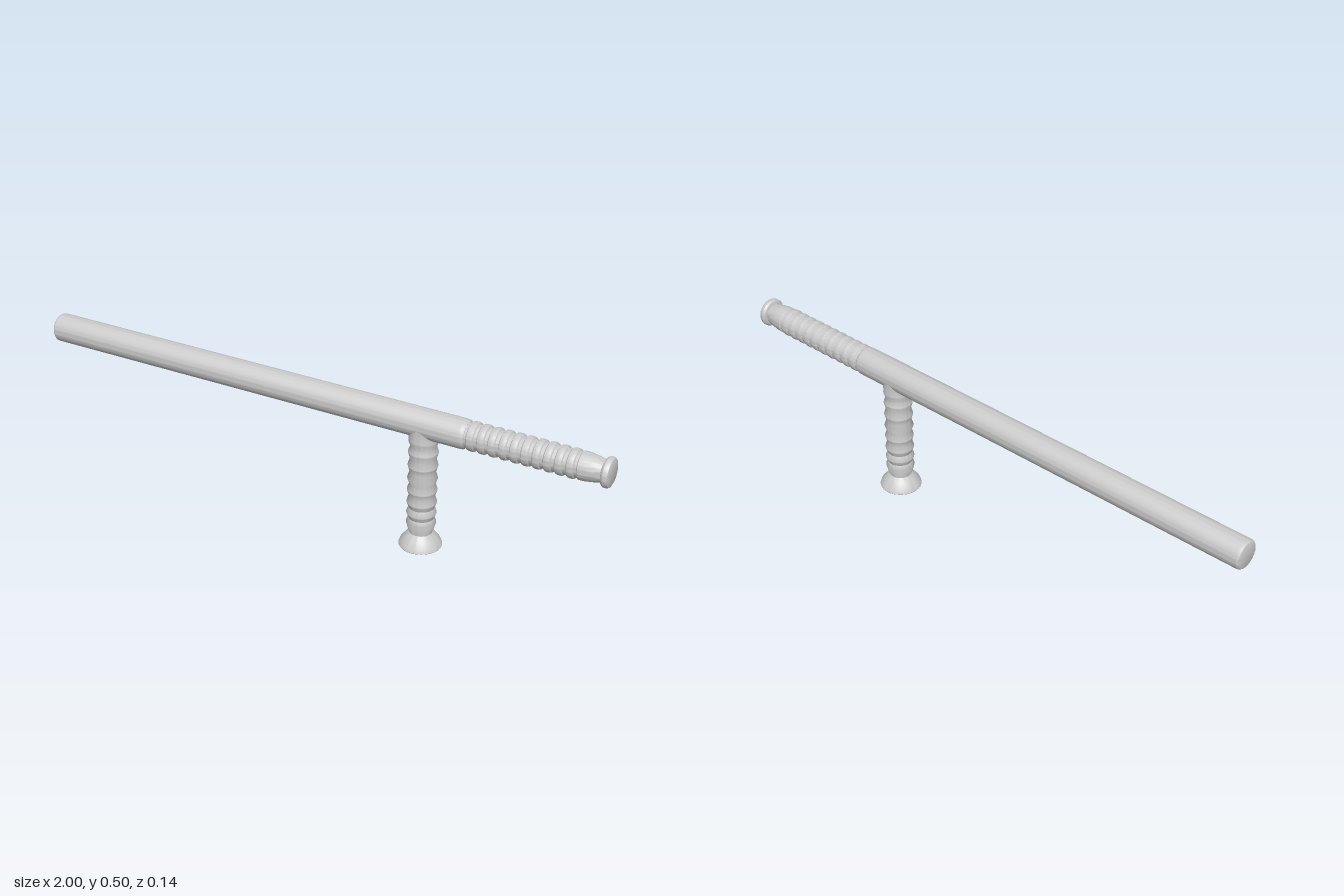
import * as THREE from 'three';
import { toCreasedNormals } from 'three/addons/utils/BufferGeometryUtils.js';

const material = new THREE.MeshStandardMaterial({ color: 0xcccccc });
const SHAFT_Y = 0.448;
const HANDLE_X = 0.385;
const TOP_Y = 0.437;

// Turned part from [radius, position along axis] pairs
function turned(profile) {
  return new THREE.LatheGeometry(profile.map(([r, t]) => new THREE.Vector2(r, t)), 48);
}

function part(name, geometry, crease = 0.5) {
  const mesh = new THREE.Mesh(toCreasedNormals(geometry, crease), material);
  mesh.name = name;
  return mesh;
}

// Turned part laid along +x at shaft height
function along(name, profile) {
  const mesh = part(name, turned(profile));
  mesh.rotation.z = -Math.PI / 2;
  mesh.position.y = SHAFT_Y;
  return mesh;
}

export function createModel() {
  const group = new THREE.Group();

  // Long plain shaft with softened ends
  group.add(along('shaft', [
    [0, -1], [0.038, -1], [0.043, -0.998], [0.047, -0.993], [0.048, -0.985],
    [0.048, 0.52], [0.047, 0.528], [0.042, 0.535], [0, 0.535],
  ]));

  // Ribbed grip: rounded rings between narrow grooves, then a tapered neck
  const grip = [[0, 0.53], [0.041, 0.53]];
  const rings = 10, pitch = 0.036;
  for (let i = 0; i < rings; i++) {
    const x = 0.542 + i * pitch;
    grip.push([0.041, x], [0.0455, x + 0.003], [0.047, x + 0.009],
      [0.047, x + 0.017], [0.0455, x + 0.023], [0.041, x + 0.026]);
  }
  grip.push([0.041, 0.9], [0.045, 0.903], [0.044, 0.925], [0.04, 0.95], [0.036, 0.965], [0.034, 0.98], [0, 0.98]);
  group.add(along('ribbedGrip', grip));

  // Flared end knob
  group.add(along('endKnob', [
    [0, 0.972], [0.034, 0.972], [0.044, 0.976], [0.048, 0.982],
    [0.048, 0.991], [0.045, 0.997], [0.038, 1], [0, 1],
  ]));

  // Side handle with finger ridges
  const handle = [[0, 0.055], [0.038, 0.055], [0.038, 0.06]];
  const peaks = [0.095, 0.131, 0.17, 0.214, 0.256, 0.302, 0.348, 0.39];
  peaks.forEach((y, i) => {
    handle.push([0.047, y - 0.004], [0.048, y], [0.047, y + 0.004]);
    if (i < peaks.length - 1) handle.push([0.041, (y + peaks[i + 1]) / 2]);
  });
  handle.push([0.048, TOP_Y], [0, TOP_Y]);
  const handleGeometry = turned(handle);

  // Slope the top rim down on both sides so it saddles the shaft
  const pos = handleGeometry.attributes.position;
  for (let i = 0; i < pos.count; i++) {
    if (pos.getY(i) > TOP_Y - 0.001) {
      const slope = Math.pow(Math.abs(pos.getX(i)) / 0.048, 1.4);
      pos.setY(i, TOP_Y - 0.036 * slope);
    }
  }
  const sideHandle = part('sideHandle', handleGeometry, 0.7);
  sideHandle.position.x = HANDLE_X;
  group.add(sideHandle);

  // Flared foot with stepped rings underneath
  const foot = part('handleFoot', turned([
    [0, 0.003], [0.022, 0.003], [0.024, 0], [0.046, 0], [0.049, 0.002], [0.049, 0.006],
    [0.054, 0.008], [0.069, 0.012], [0.07, 0.014], [0.066, 0.026], [0.052, 0.044],
    [0.039, 0.06], [0, 0.06],
  ]));
  foot.position.x = HANDLE_X;
  group.add(foot);

  return group;
}
